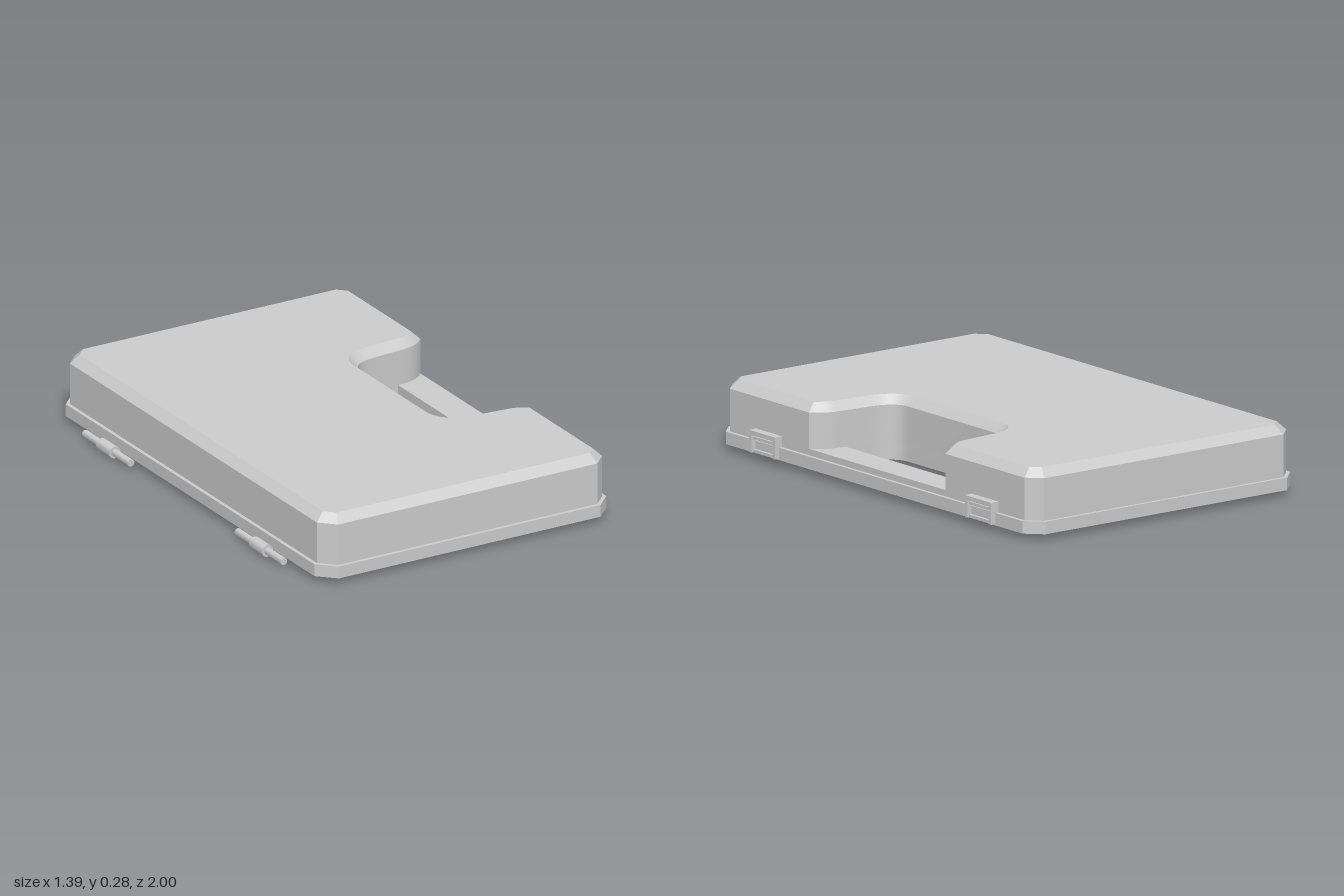
import * as THREE from 'three';
import { toCreasedNormals } from 'three/addons/utils/BufferGeometryUtils.js';

const material = new THREE.MeshStandardMaterial({ color: 0xcccccc, side: THREE.DoubleSide });

// Chamfered rectangle in [x, z], counter-clockwise seen from above
const rect = [
  [0.655, -0.93], [0.6, -0.985], [-0.575, -0.985], [-0.635, -0.925],
  [-0.635, 0.925], [-0.575, 0.985], [0.6, 0.985], [0.655, 0.93],
];

// Handle notch cut into the +x side, with flared mouth and rounded corners
function notchPoints() {
  const p = new THREE.Path();
  p.moveTo(0.655, 0.43);
  p.quadraticCurveTo(0.61, 0.382, 0.55, 0.377);
  p.lineTo(0.52, 0.374);
  p.lineTo(0.39, 0.363);
  p.quadraticCurveTo(0.29, 0.35, 0.29, 0.27);
  const half = p.getPoints(8).map((v) => [v.x, v.y]);
  return [...half, ...half.map(([x, z]) => [x, -z]).reverse()];
}

// Moves every edge of a closed loop inwards by d, with mitred corners
function inset(loop, d) {
  const n = loop.length;
  const normals = loop.map(([x, z], i) => {
    const [x2, z2] = loop[(i + 1) % n];
    const len = Math.hypot(x2 - x, z2 - z);
    return [(z2 - z) / len, (x - x2) / len];
  });
  return loop.map(([x, z], i) => {
    const a = normals[(i + n - 1) % n], b = normals[i];
    const k = d / (1 + a[0] * b[0] + a[1] * b[1]);
    return [x + k * (a[0] + b[0]), z + k * (a[1] + b[1])];
  });
}

// Skins a loop through levels of [inset, y]; keep() selects the edges used
function loft(loop, levels, keep = () => true) {
  const n = loop.length, pos = [], index = [];
  for (const [d, y] of levels) for (const [x, z] of inset(loop, d)) pos.push(x, y, z);
  for (let l = 0; l < levels.length - 1; l++) {
    for (let i = 0; i < n; i++) {
      const j = (i + 1) % n;
      if (!keep(loop[i], loop[j])) continue;
      const a = l * n + i, b = l * n + j;
      index.push(a, b, b + n, a, b + n, a + n);
    }
  }
  const g = new THREE.BufferGeometry();
  g.setAttribute('position', new THREE.Float32BufferAttribute(pos, 3));
  g.setIndex(index);
  return toCreasedNormals(g, 0.5);
}

// Flat horizontal panel filling a loop
function panel(loop, d, y) {
  const shape = new THREE.Shape(inset(loop, d).map(([x, z]) => new THREE.Vector2(x, -z)));
  return new THREE.ShapeGeometry(shape).rotateX(-Math.PI / 2).translate(0, y, 0);
}

function add(parent, name, geometry) {
  const mesh = new THREE.Mesh(geometry, material);
  mesh.name = name;
  parent.add(mesh);
  return mesh;
}

// Box given by its min and max corners
function box(parent, name, [x0, y0, z0], [x1, y1, z1]) {
  const g = new THREE.BoxGeometry(x1 - x0, y1 - y0, z1 - z0);
  return add(parent, name, g.translate((x0 + x1) / 2, (y0 + y1) / 2, (z0 + z1) / 2));
}

export function createModel() {
  const model = new THREE.Group();
  model.name = 'caseLid';
  const notch = notchPoints();
  const body = [...rect, ...notch];
  const t = 0.015; // wall thickness

  // Rim with a small step, running all the way round, and its inner face
  add(model, 'rim', loft(rect, [[t, 0.1], [t, 0.025], [-t, 0.025], [-t, 0.075], [0, 0.075], [0, 0.1]]));

  // Walls and bevel with the notch, outside and inside
  add(model, 'outerWalls', loft(body, [[0, 0.1], [0, 0.245], [0.035, 0.28]]));
  add(model, 'topPanel', panel(body, 0.035, 0.28));
  add(model, 'innerWalls', loft(body, [[0.04, 0.265], [t, 0.24], [t, 0.1]]));
  add(model, 'ceiling', panel(body, 0.04, 0.265));

  // Notch wall carried down to the rim behind the handle
  const inNotch = ([x, z]) => x < 0.525 && x > 0.2 && Math.abs(z) < 0.4;
  add(model, 'notchSkirt', loft(body, [[t, 0.1], [t, 0.025], [0, 0.025], [0, 0.1]],
    (a, b) => inNotch(a) && inNotch(b)));

  // Handle rail across the notch mouth
  box(model, 'handleTop', [0.52, 0.085, -0.43], [0.654, 0.1, 0.43]);
  box(model, 'handleInnerWall', [0.52, 0.025, -0.378], [0.535, 0.085, 0.378]);

  for (const s of [1, -1]) {
    // Latch: open frame standing on the rim side
    const latch = new THREE.Group();
    latch.name = s > 0 ? 'frontLatch' : 'backLatch';
    latch.position.z = s * 0.682;
    box(latch, 'latchTopBar', [0.655, 0.1, -0.083], [0.69, 0.118, 0.083]);
    for (const e of [1, -1]) {
      const z = e * 0.075;
      box(latch, 'latchSideBar', [0.655, 0.03, z - 0.008], [0.69, 0.1, z + 0.008]);
    }
    box(latch, 'latchCatch', [0.65, 0.082, -0.067], [0.682, 0.094, 0.067]);
    box(latch, 'latchLowerBar', [0.66, 0.03, -0.067], [0.682, 0.042, 0.067]);
    model.add(latch);

    // Hinge: thin pin with a thicker knuckle
    const hinge = new THREE.Group();
    hinge.name = s > 0 ? 'frontHinge' : 'backHinge';
    hinge.position.set(-0.675, 0.025, s * 0.572);
    add(hinge, 'hingePin', toCreasedNormals(new THREE.CylinderGeometry(0.015, 0.015, 0.345, 16), 0.6).rotateX(Math.PI / 2));
    add(hinge, 'hingeKnuckle', toCreasedNormals(new THREE.CylinderGeometry(0.025, 0.025, 0.1, 16), 0.6).rotateX(Math.PI / 2));
    model.add(hinge);
  }
  return model;
}
